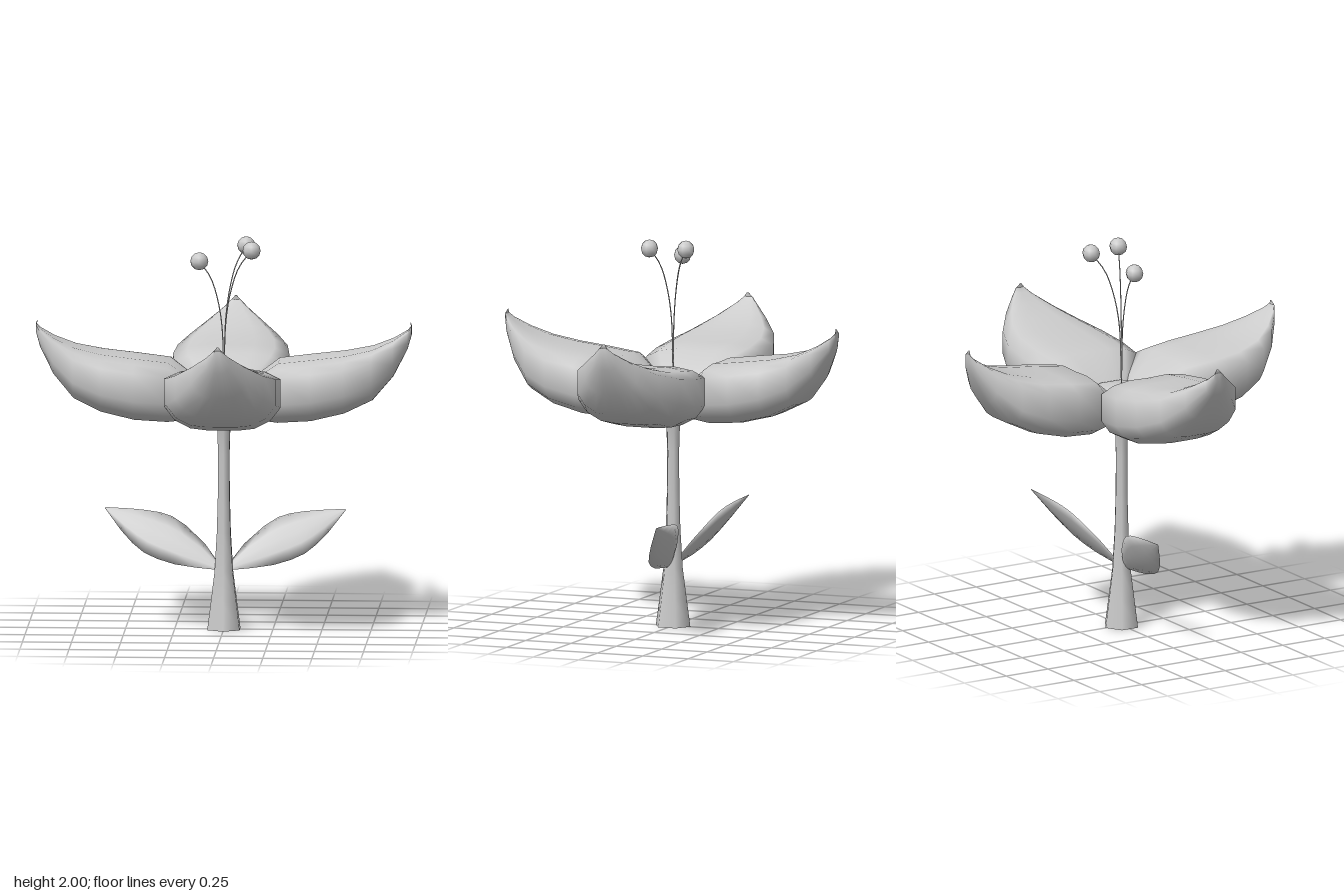
import * as THREE from 'three';

const material = new THREE.MeshStandardMaterial({ color: 0xcccccc, side: THREE.DoubleSide });

function add(parent, name, geometry) {
  const mesh = new THREE.Mesh(geometry, material);
  mesh.name = name;
  parent.add(mesh);
  return mesh;
}

// Smooth skin over closed cross-sections of [x, y, z] points, all of equal length
function loft(sections) {
  const n = sections[0].length, index = [];
  for (let i = 0; i < sections.length - 1; i++) {
    for (let j = 0; j < n; j++) {
      const a = i * n + j, b = i * n + (j + 1) % n;
      index.push(a, b, a + n, b, b + n, a + n);
    }
  }
  const geometry = new THREE.BufferGeometry();
  geometry.setAttribute('position', new THREE.Float32BufferAttribute(sections.flat(2), 3));
  geometry.setIndex(index);
  geometry.computeVertexNormals();
  return geometry;
}

// Full, boat-shaped petal pointing along +x: round keel, upright sides, gently domed top
function petalGeometry() {
  // distance from the axis, keel height, half width, crest height
  const stations = [
    [0.05, 1.1, 0.07, 1.18], [0.14, 1.085, 0.17, 1.28], [0.28, 1.074, 0.28, 1.38],
    [0.45, 1.085, 0.297, 1.4], [0.62, 1.125, 0.28, 1.42], [0.76, 1.19, 0.225, 1.45],
    [0.865, 1.31, 0.14, 1.495], [0.935, 1.445, 0.06, 1.54], [0.957, 1.52, 0.025, 1.565],
    [0.95, 1.58, 0.004, 1.582],
  ];
  const half = [[0.28, 0], [0.55, 0.03], [0.82, 0.16], [1, 0.38], [1, 0.84], [0.75, 0.95], [0.4, 1]];
  const outline = [[0, 0], ...half, [0, 0.99], ...half.map(([u, v]) => [-u, v]).reverse()];
  return loft(stations.map(([x, keel, w, crest]) =>
    outline.map(([u, v]) => [x, keel + (crest - keel) * v, u * w])));
}

// Thin lens-shaped leaf leaning backwards; side is +1 or -1
function leafGeometry(side) {
  // x and y on the upper edge, then on the lower edge
  const stations = [
    [0.02, 0.33, 0.03, 0.305], [0.1, 0.43, 0.14, 0.315], [0.2, 0.515, 0.25, 0.33],
    [0.27, 0.557, 0.34, 0.355], [0.33, 0.575, 0.41, 0.385], [0.4, 0.585, 0.47, 0.43],
    [0.48, 0.592, 0.53, 0.49], [0.612, 0.598, 0.613, 0.592],
  ];
  // position across the leaf and share of the thickness
  const outline = [[0, 0], [0.25, 0.75], [0.5, 1], [0.75, 0.75],
    [1, 0], [0.75, -0.75], [0.5, -1], [0.25, -0.75]];
  return loft(stations.map(([ux, uy, lx, ly]) =>
    outline.map(([t, s]) => {
      const y = uy + (ly - uy) * t;
      const swell = s * 0.014 * Math.min(1, (uy - ly) / 0.18);
      return [side * (ux + (lx - ux) * t), y + swell * 0.5, 0.012 - (y - 0.305) * 0.6 + swell];
    })));
}

export function createModel() {
  const model = new THREE.Group();
  model.name = 'flower';

  // Six-sided stem with a flared foot
  const lathe = (pts) => new THREE.LatheGeometry(pts.map(([r, y]) => new THREE.Vector2(r, y)), 6);
  add(model, 'stemBase', lathe([[0, 0], [0.095, 0]]));
  add(model, 'stem', lathe([[0.095, 0], [0.075, 0.14], [0.053, 0.3], [0.04, 0.5], [0.034, 0.7],
    [0.033, 0.9], [0.037, 1.02], [0.055, 1.1]]));

  // Low dome in the middle of the flower
  add(model, 'flowerCentre', lathe([[0.055, 1.1], [0.11, 1.16], [0.16, 1.24], [0.12, 1.265], [0, 1.28]]));

  // Four petals, the front and back ones slightly shorter
  const petal = petalGeometry();
  ['leftPetal', 'backPetal', 'rightPetal', 'frontPetal'].forEach((name, k) => {
    const mesh = add(model, name, petal);
    mesh.rotation.y = k * Math.PI / 2;
    mesh.scale.x = k % 2 ? 0.95 : 1;
    mesh.position.set(k % 2 ? 0.015 : 0, 0, k % 2 ? 0 : -0.015);
  });

  // Pair of leaves
  add(model, 'leftLeaf', leafGeometry(1));
  add(model, 'rightLeaf', leafGeometry(-1));

  // Three stamens: thin curved filament and a round tip
  [[-0.125, 1.89, 0], [0.108, 1.957, -0.115], [0.145, 1.957, 0.07]].forEach(([x, y, z]) => {
    const stamen = new THREE.Group();
    stamen.name = 'stamen';
    const path = [[0, 0], [0.08, 0.47], [0.27, 0.7], [0.55, 0.87], [1, 1]].map(([out, up]) =>
      new THREE.Vector3(x * out, 1.27 + (y - 1.27) * up, z * out));
    add(stamen, 'filament', new THREE.TubeGeometry(new THREE.CatmullRomCurve3(path), 16, 0.003, 5));
    add(stamen, 'anther', new THREE.SphereGeometry(0.046, 8, 6)).position.set(x, y, z);
    model.add(stamen);
  });

  return model;
}
